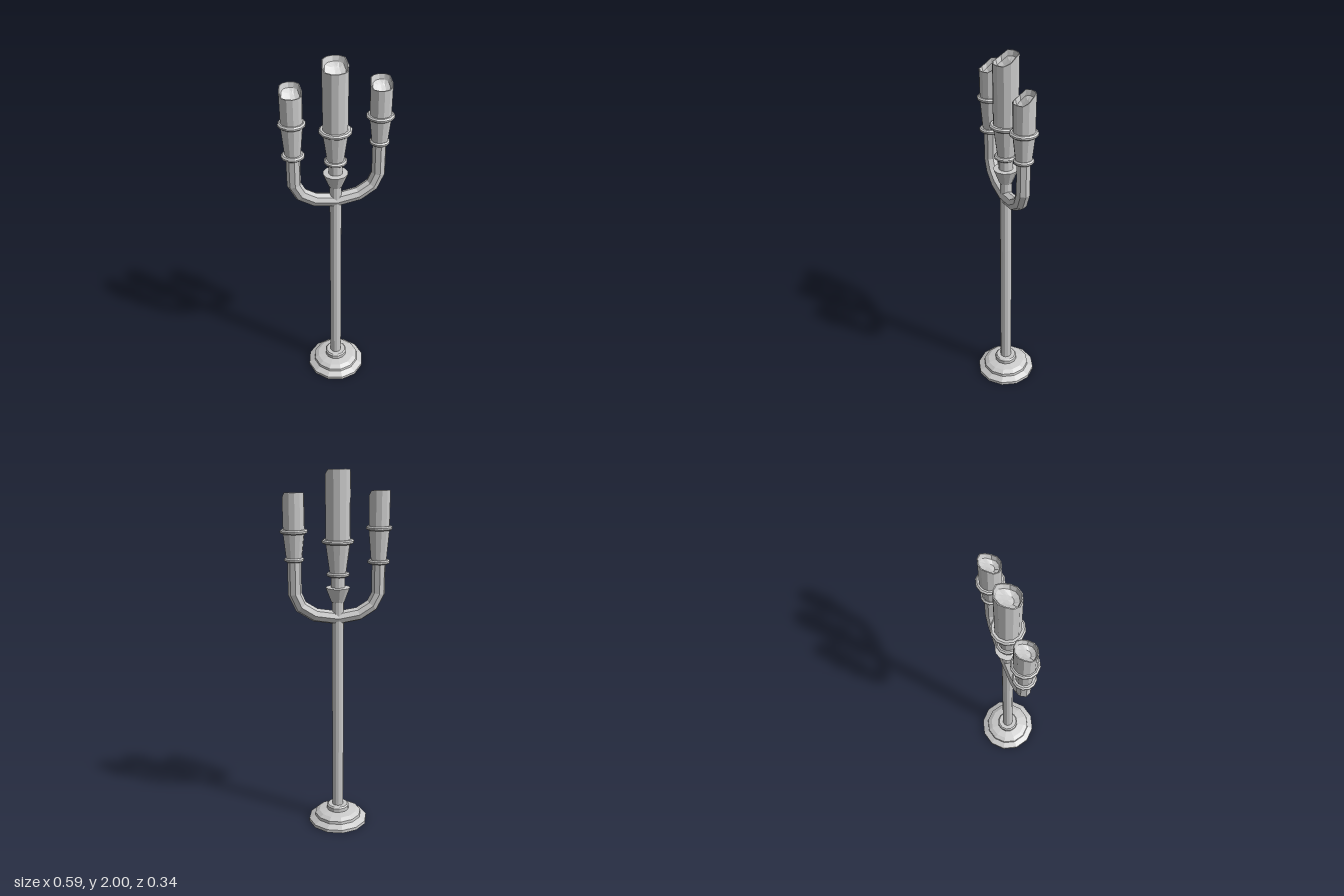
import * as THREE from 'three';

const SIDES = 12;
const material = new THREE.MeshStandardMaterial({ color: 0xcccccc, flatShading: true });

function lathe(name, profile, x) {
  const pts = profile.map(([r, y]) => new THREE.Vector2(r, y));
  const mesh = new THREE.Mesh(new THREE.LatheGeometry(pts, SIDES), material);
  mesh.name = name;
  mesh.position.x = x;
  return mesh;
}

// Bevelled band around a stem
function ring(name, x, y, inner, outer, h = 0.011) {
  return lathe(name, [
    [inner, y - h], [outer - 0.008, y - h], [outer, y - h * 0.4],
    [outer, y + h * 0.4], [outer - 0.008, y + h], [inner, y + h],
  ], x);
}

// Candle with a hollowed top whose front is melted lower than its back
function candle(x, bottom, top, r) {
  const mesh = lathe('candle', [
    [0, bottom], [r * 0.97, bottom], [r, top], [r * 0.92, top + 0.001],
    [r * 0.78, top - 0.025], [r * 0.4, top - 0.035], [0, top - 0.038],
  ], x);
  const p = mesh.geometry.attributes.position;
  for (let i = 0; i < p.count; i++) {
    if (p.getY(i) < top - 0.1) continue;
    const drop = THREE.MathUtils.smoothstep(p.getZ(i) / r, -0.6, 0.4);
    p.setY(i, p.getY(i) - 0.043 * drop);
  }
  mesh.geometry.computeVertexNormals();
  return mesh;
}

// Socket, its two rings and the candle
function holder(name, o) {
  const g = new THREE.Group();
  g.name = name;
  g.add(
    ring('lowerRing', o.x, o.low, o.stem * 0.9, o.lowR),
    lathe('socket', [
      [0, o.low], [o.stem + 0.004, o.low], [o.stem + 0.006, o.low + 0.02],
      [o.r, o.high], [0, o.high],
    ], o.x),
    ring('upperRing', o.x, o.high, o.r * 0.9, o.highR),
    candle(o.x, o.high - 0.01, o.top, o.r),
  );
  return g;
}

// Path with straight runs between its points
class Polyline extends THREE.Curve {
  constructor(points) {
    super();
    this.points = points.map(([x, y]) => new THREE.Vector3(x, y, 0));
  }
  getPoint(t, target = new THREE.Vector3()) {
    const n = this.points.length - 1;
    const i = Math.min(Math.floor(t * n), n - 1);
    return target.lerpVectors(this.points[i], this.points[i + 1], t * n - i);
  }
  getPointAt(t, target) { return this.getPoint(t, target); }
  getTangentAt(t, target) { return this.getTangent(t, target); }
}

export function createModel() {
  const model = new THREE.Group();
  model.name = 'candelabrum';
  const cx = -0.008;

  model.add(lathe('base', [
    [0, 0], [0.168, 0], [0.168, 0.018], [0.134, 0.036], [0.132, 0.052],
    [0.108, 0.066], [0.064, 0.074], [0.064, 0.096], [0.056, 0.103], [0, 0.103],
  ], cx));
  model.add(lathe('pole', [[0, 0.09], [0.032, 0.09], [0.032, 1.33], [0, 1.33]], cx));

  // Flared collar and neck under the middle candle
  model.add(lathe('collar', [
    [0, 1.31], [0.036, 1.31], [0.066, 1.388], [0.038, 1.39], [0.038, 1.46], [0, 1.46],
  ], cx));

  // U-shaped arm through the pole
  const path = new Polyline([
    [-0.227, 1.52], [-0.227, 1.35], [-0.193, 1.285], [-0.12, 1.24], [cx, 1.222],
    [0.115, 1.242], [0.19, 1.29], [0.222, 1.36], [0.222, 1.545],
  ]);
  const arm = new THREE.Mesh(new THREE.TubeGeometry(path, 8, 0.037, 8, false), material);
  arm.name = 'arms';
  model.add(arm);

  model.add(
    holder('middleHolder', { x: cx, low: 1.458, high: 1.632, top: 2.0, r: 0.067, stem: 0.04, lowR: 0.061, highR: 0.086 }),
    holder('rightHolder', { x: -0.227, low: 1.52, high: 1.698, top: 1.893, r: 0.057, stem: 0.037, lowR: 0.06, highR: 0.07 }),
    holder('leftHolder', { x: 0.223, low: 1.542, high: 1.688, top: 1.887, r: 0.057, stem: 0.037, lowR: 0.052, highR: 0.072 }),
  );
  return model;
}
